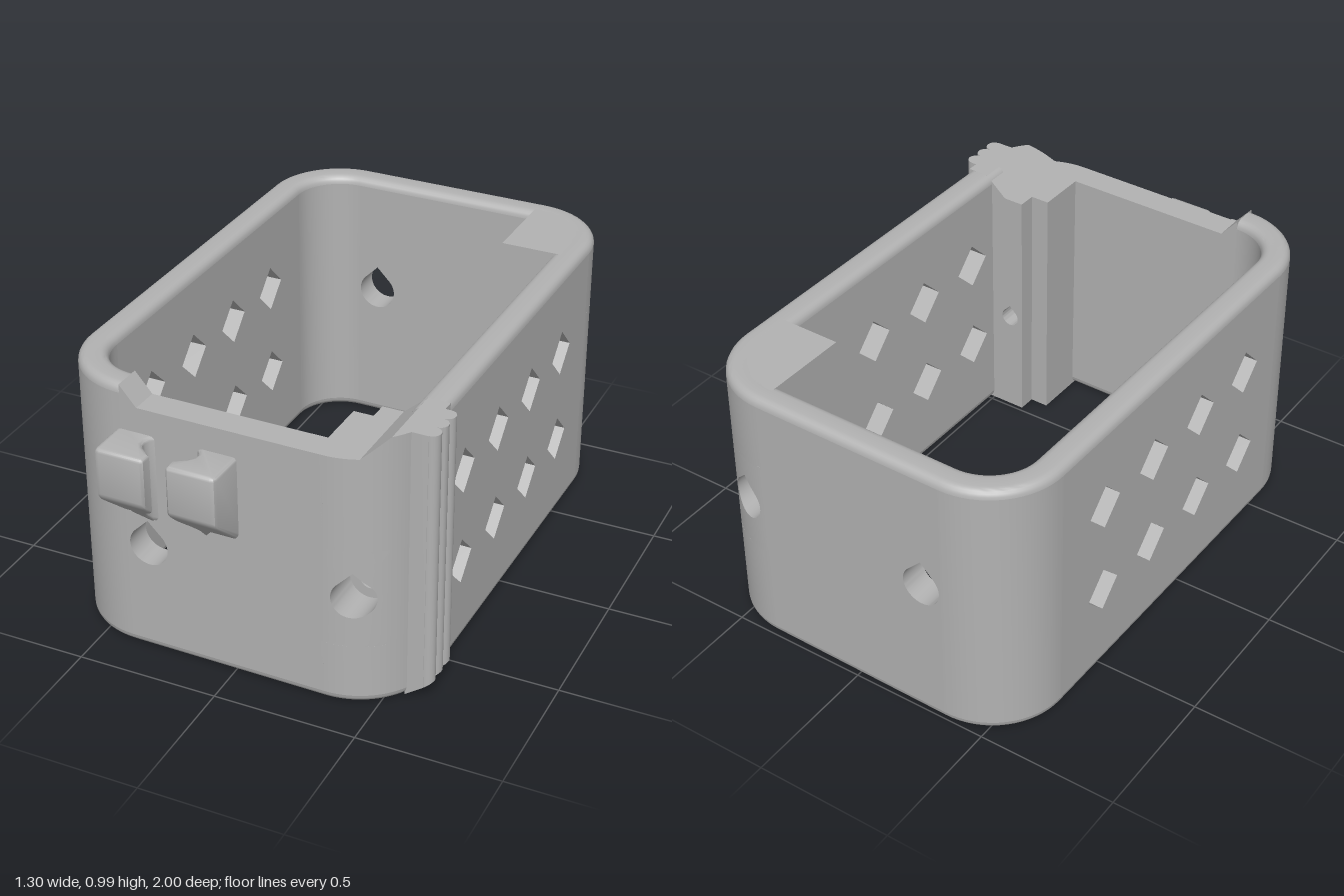
import * as THREE from 'three';
import { toCreasedNormals } from 'three/addons/utils/BufferGeometryUtils.js';

const W = 0.625, D = 0.925, R = 0.27, T = 0.1, TOP = 0.99, E = 0.03;
const CX = W - R, CZ = D - R;            // corner arc centres
const HX = 0.448, HL = -0.277;           // fixing hole columns
const FY = 0.405, BY = 0.535, HALF = 0.18; // front and back hole heights, patch half height
const SPLIT = 0.548;                     // end of the holed part of a corner
const rad = THREE.MathUtils.degToRad, clamp = THREE.MathUtils.clamp;

export function createModel() {
  const grey = new THREE.MeshStandardMaterial({ color: 0xb2b2b2, side: THREE.DoubleSide });
  grey.name = 'grey plastic';
  const model = new THREE.Group(), body = new THREE.Group();
  model.name = 'mountingFrame';
  body.name = 'frame';
  body.rotation.y = -0.0145;
  body.position.set(-0.015, 0, -0.07);
  model.add(body);

  const add = (name, geo) => {
    const mesh = new THREE.Mesh(toCreasedNormals(geo, 0.6), grey);
    mesh.name = name;
    body.add(mesh);
    return mesh;
  };
  const box = (name, x0, x1, y0, y1, z0, z1) => add(name,
    new THREE.BoxGeometry(x1 - x0, y1 - y0, Math.abs(z1 - z0)).translate((x0 + x1) / 2, (y0 + y1) / 2, (z0 + z1) / 2));
  const shapeOf = pts => new THREE.Shape(pts.map(p => new THREE.Vector2(p[0], p[1])));

  // Plan outline [x, z] raised from y0 to y1
  const extrudeY = (plan, y0, y1, opts = {}) => new THREE.ExtrudeGeometry(
    shapeOf(plan.map(([x, z]) => [x, -z])), { depth: y1 - y0, bevelEnabled: false, ...opts })
    .rotateX(-Math.PI / 2).translate(0, y0, 0);
  const moveY = (geo, rule) => {
    const p = geo.attributes.position;
    for (let i = 0; i < p.count; i++) p.setY(i, rule(p.getX(i), p.getY(i), p.getZ(i)));
    return geo;
  };
  // Upright panel drawn in x, y and given depth along z
  const panel = (pts, holes, depth) => {
    const s = shapeOf(pts);
    s.holes = holes.map(h => new THREE.Path(h.map(p => new THREE.Vector2(p[0], p[1]))));
    return new THREE.ExtrudeGeometry(s, { depth, bevelEnabled: false });
  };
  // Surface through rows of points
  const grid = rows => {
    const n = rows[0].length, index = [];
    for (let i = 0; i < rows.length - 1; i++) for (let j = 0; j < n - 1; j++) {
      const a = i * n + j, b = a + n;
      index.push(a, b, a + 1, b, b + 1, a + 1);
    }
    const g = new THREE.BufferGeometry();
    g.setAttribute('position', new THREE.Float32BufferAttribute(rows.flat(2), 3));
    g.setIndex(index);
    g.computeVertexNormals();
    return g;
  };
  // Teardrop hole outline with its point upward
  const dropRadius = (t, r) => t > Math.PI / 4 && t < Math.PI * 0.75
    ? r / Math.cos(Math.abs(t - Math.PI / 2) - Math.PI / 4) : r;
  const drop = (x, y, r) => Array.from({ length: 48 }, (_, i) => {
    const t = i / 48 * Math.PI * 2, q = dropRadius(t, r);
    return [x + q * Math.cos(t), y + q * Math.sin(t)];
  });
  const rect = (x0, x1, y0, y1) => [[x0, y0], [x1, y0], [x1, y1], [x0, y1]];

  // Front wall with lowered top edge, and back wall
  add('frontWall', panel([[-CX, E], [CX, E], [CX, 0.92], [-0.295, 0.92], [-CX, TOP]],
    [drop(HL, FY, 0.07)], T).translate(0, 0, D - T));
  add('backWall', panel(rect(-CX, CX, E, TOP - E), [drop(HL, BY, 0.07)], T).translate(0, 0, -D));

  // Side walls with two rows of diamond openings
  const diamonds = [];
  for (const y of [0.325, 0.675]) for (let i = 0; i < 4; i++) {
    const s = -0.451 + i * 0.289, h = 0.085;
    diamonds.push([[s - h, y], [s, y - h], [s + h, y], [s, y + h]]);
  }
  for (const [name, x] of [['leftSideWall', W - T], ['rightSideWall', -W]])
    add(name, panel(rect(-CZ, CZ, E, TOP - E), diamonds, T).rotateY(Math.PI / 2).translate(x, 0, 0));

  // Rounded corners; angle 0 faces front, 90 faces +x
  const corner = (name, a0, a1, sx, sz, y0, y1) => {
    const at = (a, r) => [sx * CX + r * Math.sin(rad(a)), sz * CZ + r * Math.cos(rad(a))];
    const outer = [], inner = [];
    for (let i = 0; i <= 16; i++) {
      const a = a0 + (a1 - a0) * i / 16;
      outer.push(at(a, R));
      inner.unshift(at(a, R - T));
    }
    add(name, extrudeY([...outer, ...inner], y0, y1));
  };
  const splitAngle = THREE.MathUtils.radToDeg(Math.asin((SPLIT - CX) / R));
  corner('frontCorner', 270, 360, -1, 1, E, TOP - E);
  corner('backCorner', 180, 270, -1, -1, E, TOP - E);
  corner('backCornerLower', 90, 180, 1, -1, E, BY - HALF);
  corner('backCornerUpper', 90, 180, 1, -1, BY + HALF, TOP - E);
  corner('backCornerMiddle', 90, 180 - splitAngle, 1, -1, BY - HALF, BY + HALF);

  // Curved corner face around a teardrop hole, plus the bore behind it
  const arcZ = x => CZ + Math.sqrt(Math.max(0, R * R - Math.max(0, x - CX) ** 2));
  const holedCorner = (name, yc, s) => {
    const l = HX - CX, r = SPLIT - HX, angles = [];
    for (let i = 0; i < 48; i++) angles.push(i / 48 * Math.PI * 2);
    for (const [x, y] of [[r, HALF], [-l, HALF], [-l, -HALF], [r, -HALF]])
      angles.push((Math.atan2(y, x) + Math.PI * 2) % (Math.PI * 2));
    angles.sort((a, b) => a - b);
    angles.push(Math.PI * 2);
    if (s < 0) angles.reverse();
    const ring = (k, z) => angles.map(t => {
      const c = Math.cos(t), n = Math.sin(t);
      const edge = Math.min((c > 0 ? r : l) / Math.max(Math.abs(c), 1e-6), HALF / Math.max(Math.abs(n), 1e-6));
      const q = THREE.MathUtils.lerp(dropRadius(t, 0.07), edge, k), x = HX + q * c;
      return [x, yc + q * n, s * (z ?? arcZ(x))];
    });
    add(name + 'Face', grid(Array.from({ length: 11 }, (_, i) => ring(i / 10))));
    add(name + 'Bore', grid([ring(0), ring(0, 0.78)]));
  };
  holedCorner('frontHole', FY, 1);
  holedCorner('backHole', BY, -1);

  // Solid post filling a corner between two heights, kept inside the rounded rim
  const fill = (name, x0, zi, s, y0, y1) => {
    const plan = [[x0, s * zi], [0.56, s * zi]];
    for (let i = 0; i <= 12; i++) {
      const a = rad(90 - i * 7.5);
      plan.push([CX + 0.205 * Math.sin(a), s * (CZ + 0.205 * Math.cos(a))]);
    }
    plan.push([x0, s * 0.86]);
    add(name, extrudeY(plan, y0, y1));
  };
  // Back post
  fill('backPostLower', 0.34, 0.54, -1, 0, BY - HALF);
  fill('backPostUpper', 0.34, 0.54, -1, BY + HALF, TOP);
  add('backPostMiddle', panel(rect(0.34, SPLIT, BY - HALF, BY + HALF), [drop(HX, BY, 0.035)], 0.24)
    .translate(0, 0, -0.78));
  box('backPostSide', 0.34, 0.37, BY - HALF, BY + HALF, -0.84, -0.54);

  // Front post: stepped inside, with a top that ramps from the low edge to full height
  fill('frontPostFootA', 0.325, 0.645, 1, 0, 0.05);
  fill('frontPostFootB', 0.394, 0.58, 1, 0, 0.05);
  const rampTop = x => clamp(0.92 + (x - 0.468) * 0.07 / 0.08, 0.92, TOP);
  const postPiece = (x0, x1, zi, bands) => {
    const plan = [[x1, zi], [x0, zi]];
    for (let i = 0; i <= 12; i++) {
      const x = i === 12 ? x1 : x0 + (x1 - x0) * Math.sin(i / 12 * Math.PI / 2);
      plan.push([x, arcZ(x)]);
    }
    for (const [y0, y1] of bands)
      add('frontPost', moveY(extrudeY(plan, y0, y1), (x, y) => y > 0.9 ? rampTop(x) : y));
  };
  const bands = [[E, FY - HALF], [FY + HALF, 0.92]];
  postPiece(0.325, 0.394, 0.645, bands);
  postPiece(0.394, 0.468, 0.58, bands);
  postPiece(0.468, SPLIT, 0.58, bands);
  postPiece(SPLIT, W, 0.58, [[E, TOP]]);
  add('frontPostMiddle', panel(rect(0.394, SPLIT, FY - HALF, FY + HALF), [drop(HX, FY, 0.035)], 0.2)
    .translate(0, 0, 0.58));
  box('frontPostStep', 0.325, 0.394, FY - HALF, FY + HALF, 0.645, 0.78);
  box('frontPostSide', 0.325, 0.356, FY - HALF, FY + HALF, 0.645, 0.84);

  // Rounded rims swept round the outline
  const profile = [];
  for (let i = 0; i <= 5; i++) {
    const a = i / 5 * Math.PI / 2;
    profile.push([E - E * Math.cos(a), E * Math.sin(a)]);
  }
  profile.push(...profile.map(([d, h]) => [T - d, h]).reverse());
  const rim = (name, corners, closed, y, up) => {
    const rows = [];
    for (const [sx, sz, a0, a1] of corners) {
      const steps = a0 === a1 ? 0 : 16;
      for (let i = 0; i <= steps; i++) {
        const a = rad(a0 + (a1 - a0) * (steps ? i / steps : 0));
        const row = profile.map(([d, h]) =>
          [sx * CX + Math.sin(a) * (R - d), y + up * h, sz * CZ + Math.cos(a) * (R - d)]);
        rows.push(up > 0 ? row : row.reverse());
      }
    }
    if (closed) rows.push(rows[0]);
    add(name, grid(rows));
  };
  const rest = [[1, -1, 90, 180], [-1, -1, 180, 270], [-1, 1, 270, 360]];
  rim('topRim', [[1, 1, 90, 90], ...rest], false, TOP - E, 1);
  rim('bottomRim', [[1, 1, 0, 90], ...rest], true, E, -1);

  // Ribbed grip on the side, cut at a slant underneath
  const ribs = [[0.58, 0.62], [0.645, 0.62]];
  for (let k = 0; k < 3; k++) for (let i = 0; i <= 10; i++) {
    const a = Math.PI * i / 10;
    ribs.push([0.645 + 0.028 * Math.sin(a) + 0.0005, 0.6485 + k * 0.057 - 0.028 * Math.cos(a)]);
  }
  ribs.push([0.645, 0.792], [0.58, 0.792]);
  add('ribbedGrip', moveY(extrudeY(ribs, 0, TOP), (x, y) => y < 0.5 ? Math.max(0, (x - 0.58) * 0.72) : y));

  // Pair of front hooks with undercut inner sides and sloping undersides
  const hook = [[-0.372, 0.89], [-0.372, 1.05], [-0.367, 1.063], [-0.354, 1.068], [-0.205, 1.068],
    [-0.197, 1.06], [-0.197, 1.022], [-0.235, 0.992], [-0.249, 0.975], [-0.252, 0.955], [-0.245, 0.937],
    [-0.23, 0.92], [-0.23, 0.89]];
  const bevel = { bevelEnabled: true, bevelSize: 0.014, bevelOffset: -0.014, bevelThickness: 0.014, bevelSegments: 3 };
  for (const side of [0, 1]) {
    const plan = hook.map(([x, z]) => [side ? -0.314 - x : x, z]);
    const geo = extrudeY(plan, 0.524, 0.816, { ...bevel, depth: 0.292 });
    add(side ? 'leftHook' : 'rightHook',
      moveY(geo, (x, y, z) => y < 0.65 ? y + clamp(z - 0.925, 0, 0.143) : y));
  }
  return model;
}
